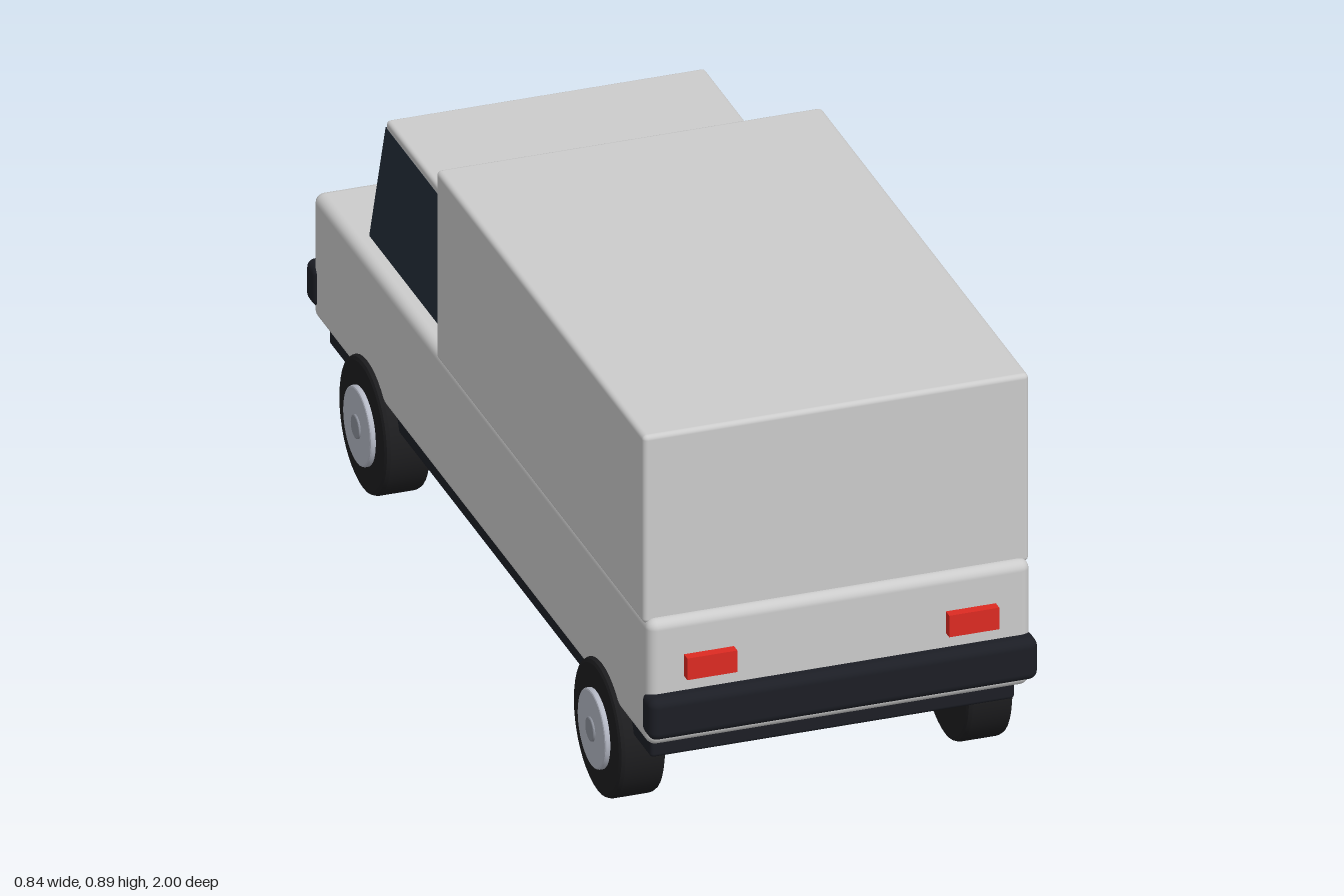
import * as THREE from 'three';
import { RoundedBoxGeometry } from 'three/addons/geometries/RoundedBoxGeometry.js';

const mat = (color) => new THREE.MeshStandardMaterial({ color });

export function createModel() {
  const truck = new THREE.Group();
  truck.name = 'boxTruck';

  const paint = mat(0xcccccc);
  const trim = mat(0x1c1e25);
  const glass = mat(0x232d38);
  const rubber = mat(0x1d1d1f);
  const rimMetal = mat(0xb4b8c4);
  const capMetal = mat(0x8c909a);
  const red = mat(0xdd2a22);
  const cream = mat(0xd2cbb0);

  const add = (name, geometry, material, parent = truck) => {
    const mesh = new THREE.Mesh(geometry, material);
    mesh.name = name;
    parent.add(mesh);
    return mesh;
  };

  // Box given by its limits on each axis; r rounds the edges
  const block = (name, [x0, x1], [y0, y1], [z0, z1], material, r = 0) => {
    const size = [x1 - x0, y1 - y0, z1 - z0];
    const geometry = r ? new RoundedBoxGeometry(...size, 3, r) : new THREE.BoxGeometry(...size);
    const mesh = add(name, geometry, material);
    mesh.position.set((x0 + x1) / 2, (y0 + y1) / 2, (z0 + z1) / 2);
    return mesh;
  };

  // Chassis, lower body and cargo box
  block('chassis', [-0.375, 0.375], [0.18, 0.25], [-0.93, 0.93], trim, 0.008);
  block('lowerBody', [-0.394, 0.394], [0.225, 0.497], [-0.97, 0.97], paint, 0.02);
  block('cargoBox', [-0.397, 0.397], [0.485, 0.895], [-0.25, 0.95], paint, 0.01);

  // Cabin glass: a box whose upper corners are drawn in
  const cabin = new THREE.BoxGeometry(0.71, 0.25, 0.505);
  const p = cabin.attributes.position;
  for (let i = 0; i < p.count; i++) {
    if (p.getY(i) > 0) {
      p.setX(i, p.getX(i) * 0.925);
      p.setZ(i, p.getZ(i) * 0.91);
    }
  }
  cabin.computeVertexNormals();
  add('cabinGlass', cabin, glass).position.set(0, 0.615, -0.503);
  block('cabinRoof', [-0.328, 0.328], [0.733, 0.757], [-0.732, -0.28], paint, 0.008);

  // Bumpers and lamps at both ends
  block('tailBumper', [-0.4, 0.4], [0.25, 0.34], [0.94, 1], trim, 0.018);
  block('noseBumper', [-0.4, 0.4], [0.25, 0.34], [-1, -0.94], trim, 0.018);
  for (const s of [-1, 1]) {
    const span = (a, b) => (s > 0 ? [a, b] : [-b, -a]);
    block('tailLamp', span(0.218, 0.321), [0.371, 0.418], [0.95, 0.99], red);
    block('headLamp', span(0.21, 0.325), [0.37, 0.424], [-0.992, -0.95], cream);
  }

  // Wheels: bevelled discs turned around the axle, outer side along +y before tilting
  const disc = (radius, y0, y1, bevel) => {
    const profile = [
      [0, y0], [radius - bevel, y0], [radius - bevel * 0.3, y0 + bevel * 0.3], [radius, y0 + bevel],
      [radius, y1 - bevel], [radius - bevel * 0.3, y1 - bevel * 0.3], [radius - bevel, y1], [0, y1],
    ].map(([x, y]) => new THREE.Vector2(x, y));
    // Separate segments keep flat faces crisp while the sides stay round
    const group = [];
    for (let i = 0; i < profile.length - 1; i++) {
      group.push(new THREE.LatheGeometry([profile[i], profile[i + 1]], 40));
    }
    return group;
  };
  const addDisc = (name, parts, material, parent) => {
    const g = new THREE.Group();
    g.name = name;
    parts.forEach((geometry) => add(name + 'Surface', geometry, material, g));
    parent.add(g);
  };
  const tyre = disc(0.14, 0, 0.095, 0.01);
  const hub = disc(0.081, 0.08, 0.106, 0.004);
  const cap = disc(0.025, 0.1, 0.11, 0.003);

  for (const z of [0.7, -0.655]) {
    for (const s of [-1, 1]) {
      const wheel = new THREE.Group();
      wheel.name = (z > 0 ? 'tail' : 'nose') + (s > 0 ? 'LeftWheel' : 'RightWheel');
      addDisc('tyre', tyre, rubber, wheel);
      addDisc('hub', hub, rimMetal, wheel);
      addDisc('hubCap', cap, capMetal, wheel);
      wheel.position.set(s * 0.31, 0.14, z);
      wheel.rotation.z = -s * Math.PI / 2;
      truck.add(wheel);
    }
  }

  return truck;
}
